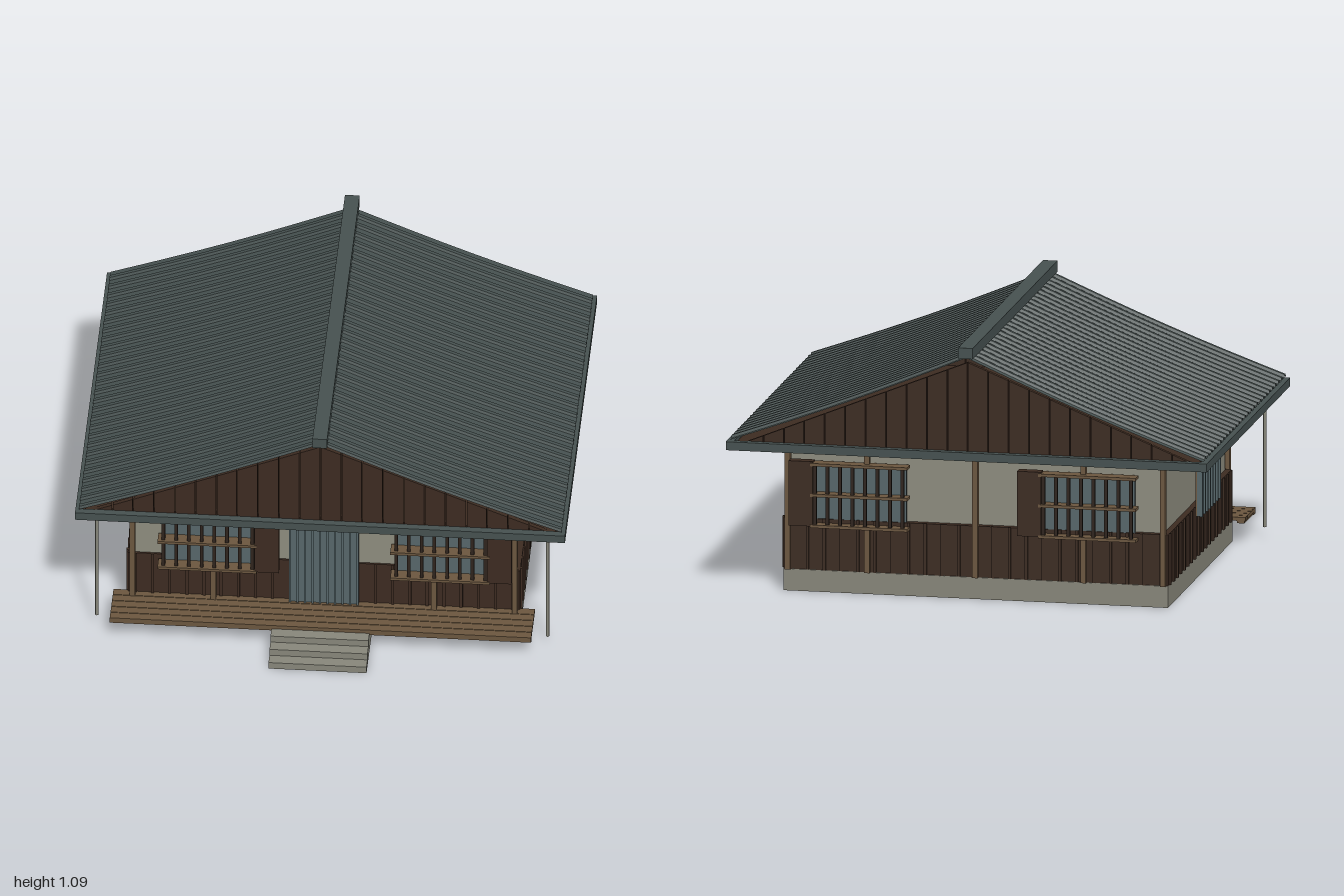
import * as THREE from 'three';

const mat = (name, color, side = THREE.FrontSide) => {
  const m = new THREE.MeshStandardMaterial({ color, side });
  m.name = name;
  return m;
};

export function createModel() {
  const house = new THREE.Group();
  house.name = 'house';

  const stone = mat('stone', 0x87867a);
  const plaster = mat('plaster', 0x8d8c7e);
  const darkWood = mat('dark wood', 0x3c2b21);
  const wood = mat('wood', 0x6b563f);
  const barWood = mat('window bar wood', 0x2e231c);
  const tile = mat('roof tile', 0x465150, THREE.DoubleSide);
  const glass = mat('glass', 0x56666a);

  const part = (name, parent = house) => {
    const g = new THREE.Group();
    g.name = name;
    parent.add(g);
    return g;
  };
  // Box given by its limits on each axis
  const box = (parent, name, m, x0, x1, y0, y1, z0, z1) => {
    const mesh = new THREE.Mesh(new THREE.BoxGeometry(x1 - x0, y1 - y0, z1 - z0), m);
    mesh.position.set((x0 + x1) / 2, (y0 + y1) / 2, (z0 + z1) / 2);
    mesh.name = name;
    parent.add(mesh);
    return mesh;
  };

  // Foundation, walls and steps
  box(house, 'foundation', stone, -0.8, 0.8, 0, 0.09, -0.69, 0.575);
  box(house, 'plasterWalls', plaster, -0.775, 0.775, 0.3, 0.605, -0.655, 0.545);
  box(house, 'wainscot', darkWood, -0.8, 0.8, 0.09, 0.303, -0.685, 0.553);
  const steps = part('steps');
  [0.89, 0.84, 0.79].forEach((z, i) =>
    box(steps, 'step', stone, -0.2, 0.2, i * 0.03, i * 0.03 + 0.03, 0.61, z));

  // Upright battens over the wainscot joints
  const battens = part('wainscotBattens');
  for (let i = 0; i <= 22; i++) {
    const x = -0.77 + i * 0.07;
    box(battens, 'batten', darkWood, x - 0.006, x + 0.006, 0.09, 0.305, -0.691, -0.685);
    if (Math.abs(x) > 0.15) box(battens, 'batten', darkWood, x - 0.006, x + 0.006, 0.105, 0.305, 0.553, 0.559);
  }
  for (let i = 0; i <= 17; i++) {
    const z = -0.66 + i * 0.07;
    for (const s of [-1, 1])
      box(battens, 'batten', darkWood, s * 0.804 - 0.004, s * 0.804 + 0.004, 0.09, 0.305, z - 0.006, z + 0.006);
  }

  // Posts and head beams on the front and back
  const frame = part('timberFrame');
  for (const [z, y0] of [[0.573, 0.1], [-0.692, 0.09]]) {
    const post = (x, a, b) => box(frame, 'post', wood, x - 0.011, x + 0.011, a, b, z - 0.013, z + 0.013);
    for (const s of [-1, 1]) {
      post(s * 0.78, y0, 0.61);
      post(s * 0.45, y0, 0.28);
      post(s * 0.45, 0.54, 0.6);
    }
    post(0, z > 0 ? 0.54 : y0, 0.6);
    box(frame, 'headBeam', wood, -0.8, 0.8, 0.59, 0.615, z - 0.015, z + 0.015);
  }

  // Veranda planks on bearers
  const deck = part('veranda');
  for (let i = 0; i < 5; i++)
    box(deck, 'plank', wood, -0.86, 0.86, 0.093, 0.108, 0.545 + i * 0.04, 0.582 + i * 0.04);
  for (let i = 0; i < 7; i++) {
    const x = -0.84 + i * 0.28;
    box(deck, 'bearer', wood, x - 0.015, x + 0.015, 0.082, 0.093, 0.55, 0.735);
  }
  box(deck, 'edgeBeam', wood, -0.86, 0.86, 0.082, 0.093, 0.715, 0.74);

  // Barred windows with shutter boxes; dir is the way the wall faces
  const addWindow = (x0, x1, z, dir) => {
    const g = part('barredWindow');
    const slab = (name, m, a, b, y0, y1, d0, d1) => {
      const p = z + dir * d0, q = z + dir * d1;
      box(g, name, m, a, b, y0, y1, Math.min(p, q), Math.max(p, q));
    };
    slab('pane', glass, x0, x1, 0.285, 0.54, 0, 0.016);
    for (let i = 0; i < 8; i++) {
      const x = x0 + 0.008 + (i * (x1 - x0 - 0.016)) / 7;
      slab('bar', barWood, x - 0.007, x + 0.007, 0.28, 0.54, 0.045, 0.059);
    }
    for (const y of [0.281, 0.41, 0.538]) slab('rail', wood, x0 - 0.015, x1 + 0.01, y - 0.006, y + 0.006, 0.012, 0.07);
    slab('shutterBox', darkWood, x1, x1 + 0.1, 0.28, 0.55, 0.02, 0.065);
  };
  for (const [z, dir] of [[0.55, 1], [-0.665, -1]]) {
    addWindow(-0.66, -0.28, z, dir);
    addWindow(0.29, 0.67, z, dir);
  }

  // Sliding front door with upright slats
  const door = part('frontDoor');
  box(door, 'doorPanel', glass, -0.142, 0.142, 0.105, 0.54, 0.545, 0.57);
  for (let i = 0; i < 10; i++) {
    const x = -0.138 + (i * 0.276) / 9;
    box(door, 'doorSlat', glass, x - 0.004, x + 0.004, 0.105, 0.54, 0.57, 0.578);
  }

  // Projecting windows on both sides
  for (const s of [-1, 1]) {
    const g = part('sideWindow');
    const slab = (name, m, a, b, y0, y1, z0, z1) =>
      box(g, name, m, Math.min(s * a, s * b), Math.max(s * a, s * b), y0, y1, z0, z1);
    slab('pane', glass, 0.825, 0.84, 0.282, 0.53, -0.235, 0.125);
    for (let i = 0; i < 8; i++) {
      const z = -0.23 + (i * 0.35) / 7;
      slab('slat', glass, 0.84, 0.848, 0.282, 0.53, z - 0.005, z + 0.005);
    }
    slab('innerFrame', wood, 0.818, 0.825, 0.282, 0.53, -0.235, 0.125);
  }

  // Ribbed roof sheets: a ribbed section along z swept down each slope
  const roof = part('roof');
  const section = [];
  const ribs = 27, zBack = -0.87, pitch = 1.62 / ribs;
  for (let i = 0; i < ribs; i++) {
    const z = zBack + i * pitch;
    section.push([z, 0], [z + pitch * 0.58, 0], [z + pitch * 0.65, 0.012], [z + pitch * 0.93, 0.012]);
  }
  section.push([zBack + 1.62, 0]);
  const rows = 8;
  for (const s of [-1, 1]) {
    const at = (r, k) => {
      const t = r / rows;
      const y = 1.045 - 0.388 * t - 0.012 * Math.sin(Math.PI * t);
      return [s * 0.985 * t, y + section[k][1], section[k][0]];
    };
    const pos = [];
    for (let r = 0; r < rows; r++)
      for (let k = 0; k < section.length - 1; k++) {
        const a = at(r, k), b = at(r, k + 1), c = at(r + 1, k + 1), d = at(r + 1, k);
        pos.push(...(s > 0 ? [a, b, c, a, c, d] : [a, c, b, a, d, c]).flat());
      }
    const geo = new THREE.BufferGeometry();
    geo.setAttribute('position', new THREE.Float32BufferAttribute(pos, 3));
    geo.computeVertexNormals();
    const mesh = new THREE.Mesh(geo, tile);
    mesh.name = 'roofSlope';
    roof.add(mesh);
  }
  box(roof, 'ridgeCap', tile, -0.03, 0.03, 1.045, 1.09, -0.89, 0.775);

  // Eaves boards all round
  for (const s of [-1, 1])
    box(roof, 'sideEavesBoard', tile, s * 0.985 - 0.015, s * 0.985 + 0.015, 0.615, 0.65, -0.875, 0.765);
  box(roof, 'frontEavesBoard', tile, -0.97, 0.97, 0.615, 0.65, 0.735, 0.765);
  box(roof, 'backEavesBoard', tile, -0.97, 0.97, 0.615, 0.65, -0.875, -0.845);

  // Soffit and rafters under the eaves
  box(roof, 'soffit', darkWood, -0.96, 0.96, 0.638, 0.646, -0.845, 0.735);
  for (let i = 0; i < 20; i++) {
    const z = -0.82 + i * 0.08;
    for (const s of [-1, 1])
      box(roof, 'sideRafter', darkWood, s * 0.875 - 0.095, s * 0.875 + 0.095, 0.618, 0.638, z - 0.01, z + 0.01);
  }
  for (let i = 0; i < 20; i++) {
    const x = -0.76 + i * 0.08;
    box(roof, 'frontRafter', darkWood, x - 0.01, x + 0.01, 0.618, 0.638, 0.55, 0.735);
    box(roof, 'backRafter', darkWood, x - 0.01, x + 0.01, 0.618, 0.638, -0.845, -0.66);
  }

  // Gables of upright boards with narrow gaps
  const top = (x) => 1.02 - (0.375 * Math.abs(x)) / 0.925;
  for (const z of [-0.845, 0.715]) {
    const gable = part('gable');
    for (let i = -11; i < 11; i++) {
      const x0 = Math.max(-0.92, i * 0.085 + 0.002), x1 = Math.min(0.92, (i + 1) * 0.085 - 0.002);
      const shape = new THREE.Shape();
      shape.moveTo(x0, 0.64);
      shape.lineTo(x1, 0.64);
      shape.lineTo(x1, top(x1));
      shape.lineTo(x0, top(x0));
      const geo = new THREE.ExtrudeGeometry(shape, { depth: 0.02, bevelEnabled: false });
      const board = new THREE.Mesh(geo, darkWood);
      board.position.z = z;
      board.name = 'gableBoard';
      gable.add(board);
    }
  }

  // Slim rain pipes at the front corners
  for (const s of [-1, 1]) {
    const pipe = new THREE.Mesh(new THREE.CylinderGeometry(0.007, 0.007, 0.57, 8), stone);
    pipe.position.set(s * 0.92, 0.335, 0.645);
    pipe.name = 'rainPipe';
    house.add(pipe);
  }

  return house;
}
